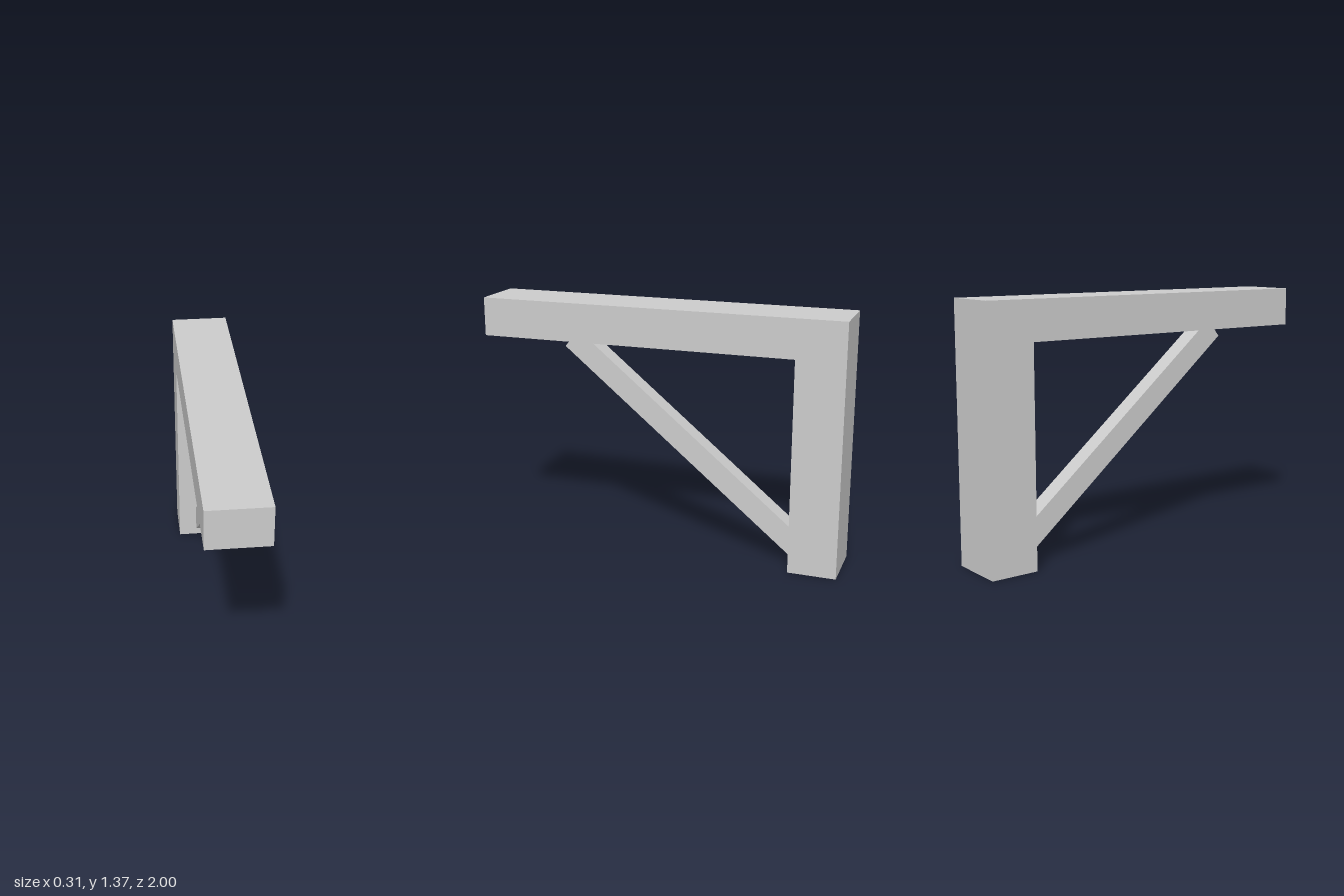
import * as THREE from 'three';

export function createModel() {
  const model = new THREE.Group();
  model.name = 'bracket';
  const grey = new THREE.MeshStandardMaterial({ color: 0xcccccc });
  grey.name = 'light grey';

  const add = (name, geometry) => {
    const mesh = new THREE.Mesh(geometry, grey);
    mesh.name = name;
    model.add(mesh);
    return mesh;
  };

  // Post and arm: one L-shaped side profile (z, y), extruded across the width
  const width = 0.314;
  const profile = new THREE.Shape(
    [[-1, 0], [-0.74, 0], [-0.74, 1.16], [1, 1.16], [1, 1.37], [-1, 1.37]]
      .map(([z, y]) => new THREE.Vector2(z, y))
  );
  const frame = new THREE.ExtrudeGeometry(profile, { depth: width, bevelEnabled: false });
  frame.translate(0, 0, -width / 2).rotateY(-Math.PI / 2);
  add('postAndArm', frame);

  // Diagonal brace, its square-cut ends sunk into the post and the arm
  const run = 1.28, rise = 1.05;
  const brace = add('brace', new THREE.BoxGeometry(0.106, 0.124, Math.hypot(run, rise)));
  brace.position.set(0, 0.633, -0.114);
  brace.rotation.x = -Math.atan2(rise, run);

  return model;
}
